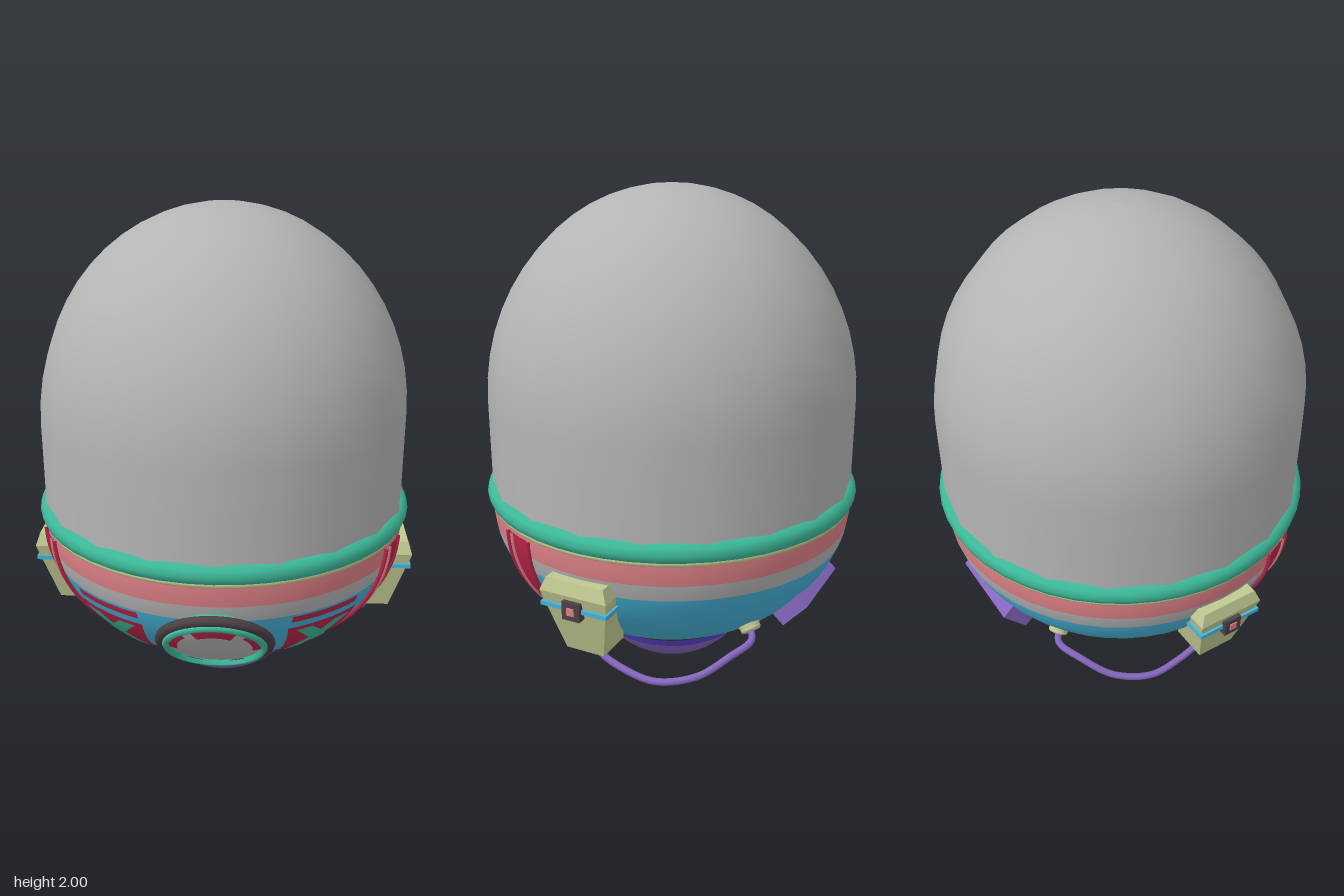
import * as THREE from 'three';
import { ConvexGeometry } from 'three/addons/geometries/ConvexGeometry.js';

const paint = (name, color) => {
  const m = new THREE.MeshStandardMaterial({ color });
  m.name = name;
  return m;
};
const V = (x, y, z) => new THREE.Vector3(x, y, z);
const P = (x, y) => new THREE.Vector2(x, y);
const RAD = Math.PI / 180;

// Bowl profile: a half ellipse below the rim
const RIM_Y = 0.75, BOWL_R = 0.745, BOWL_H = 0.59;
const bowlRadius = (y) => BOWL_R * Math.sqrt(Math.max(0, 1 - ((y - RIM_Y) / BOWL_H) ** 2));
const bowlNormal = (azimuth, y) => {
  const r = bowlRadius(y) / BOWL_R ** 2;
  return V(r * Math.sin(azimuth * RAD), (y - RIM_Y) / BOWL_H ** 2, r * Math.cos(azimuth * RAD)).normalize();
};
// Azimuth in degrees: 0 is the front, 90 is +x
const onBowl = (azimuth, y, lift = 0) => {
  const r = bowlRadius(y);
  return V(r * Math.sin(azimuth * RAD), y, r * Math.cos(azimuth * RAD))
    .addScaledVector(bowlNormal(azimuth, y), lift);
};

export function createModel() {
  const gray = paint('gray', 0xb4b4b4);
  const teal = paint('teal', 0x3cb898);
  const blue = paint('blue', 0x46b2d8);
  const pink = paint('pink', 0xdd8086);
  const crimson = paint('crimson', 0xb82448);
  const indigo = paint('indigo', 0x5a42cc);
  const purple = paint('purple', 0x8666be);
  const olive = paint('paleOlive', 0xc0c890);
  const dark = paint('darkBrown', 0x4c4044);

  const model = new THREE.Group();
  model.name = 'capsule';
  const add = (name, geometry, material, parent = model) => {
    const mesh = new THREE.Mesh(geometry, material);
    mesh.name = name;
    parent.add(mesh);
    return mesh;
  };
  const lathe = (name, material, radiusAt, y0, y1, steps, sides) => {
    const pts = [];
    for (let i = 0; i <= steps; i++) {
      const y = y0 + (y1 - y0) * i / steps;
      pts.push(P(radiusAt(y), y));
    }
    return add(name, new THREE.LatheGeometry(pts, sides), material);
  };
  const ring = (name, material, radius, tube, y, parent = model) => {
    const mesh = add(name, new THREE.TorusGeometry(radius, tube, 10, 48), material, parent);
    mesh.rotation.x = Math.PI / 2;
    mesh.position.y = y;
    return mesh;
  };
  // Thin painted face lying on the bowl, with separate top and bottom azimuths
  const patch = (name, material, top, bottom, y0, y1, lift, side) => {
    const geo = new THREE.PlaneGeometry(1, 1, 8, 10);
    const pos = geo.attributes.position, nor = geo.attributes.normal;
    for (let i = 0; i < pos.count; i++) {
      let u = pos.getX(i) + 0.5;
      if (side < 0) u = 1 - u;
      const v = pos.getY(i) + 0.5;
      const a = side * THREE.MathUtils.lerp(
        THREE.MathUtils.lerp(bottom[0], bottom[1], u), THREE.MathUtils.lerp(top[0], top[1], u), v);
      const y = y0 + (y1 - y0) * v;
      pos.setXYZ(i, ...onBowl(a, y, lift).toArray());
      nor.setXYZ(i, ...bowlNormal(a, y).toArray());
    }
    return add(name, geo, material);
  };

  // Dome: short straight wall and an elliptical crown
  const domePts = [P(0.742, 0.76), P(0.742, 1.0)];
  for (let i = 0; i <= 14; i++) {
    const t = i / 14 * Math.PI / 2;
    domePts.push(P(Math.max(0, 0.742 * Math.cos(t)), 1.17 + 0.83 * Math.sin(t)));
  }
  add('dome', new THREE.LatheGeometry(domePts, 20), gray);

  // Rim
  ring('rimRing', teal, 0.722, 0.043, 0.792);
  ring('rimTrim', olive, 0.735, 0.016, 0.757);

  // Bowl bands
  lathe('pinkBand', pink, bowlRadius, 0.665, 0.75, 4, 48);
  lathe('grayBand', gray, bowlRadius, 0.597, 0.665, 4, 48);
  lathe('bowl', blue, bowlRadius, 0.235, 0.597, 16, 48);

  // Bottom thruster ball and collar
  const ball = (y) => Math.sqrt(Math.max(0, 0.365 ** 2 - (y - 0.365) ** 2));
  lathe('ballUpper', indigo, ball, 0.16, 0.26, 4, 32);
  const ballPts = [];
  for (let i = 0; i <= 10; i++) {
    const t = i / 10 * Math.acos((0.365 - 0.16) / 0.365);
    ballPts.push(P(0.365 * Math.sin(t), 0.365 - 0.365 * Math.cos(t)));
  }
  add('ballLower', new THREE.LatheGeometry(ballPts, 32), purple);
  ring('collar', dark, 0.355, 0.017, 0.236);

  // Front porthole, local y pointing out of the bowl
  const porthole = new THREE.Group();
  porthole.name = 'porthole';
  porthole.position.set(0, 0.46, 0.632);
  porthole.rotation.x = Math.acos(-0.62);
  model.add(porthole);
  ring('portholeOuterRing', dark, 0.207, 0.019, 0, porthole);
  add('portholeRing', new THREE.LatheGeometry(
    [P(0.197, -0.05), P(0.197, 0.02), P(0.19, 0.03), P(0.176, 0.03), P(0.17, 0.0)], 40), teal, porthole);
  const cap = (name, material, r0, lift, start = 0, sweep = 360) => {
    const pts = [];
    for (let i = 0; i <= 6; i++) {
      const r = 0.178 + (r0 - 0.178) * i / 6;
      pts.push(P(r, 0.038 + lift - 0.028 * (r / 0.178) ** 2));
    }
    add(name, new THREE.LatheGeometry(pts, Math.ceil(sweep / 10), start * RAD, sweep * RAD), material, porthole);
  };
  cap('portholeGlass', gray, 0, 0);
  [[148, 64, 0.115], [228, 50, 0.142], [82, 50, 0.142], [318, 22, 0.148], [20, 22, 0.148]].forEach(
    ([start, sweep, r]) => cap('glassMark', crimson, r, 0.004, start, sweep));

  for (const s of [1, -1]) {
    // Painted panel with a cross, and the bar above it
    patch('panel', crimson, [23, 50], [26, 51], 0.345, 0.53, 0.004, s);
    patch('panelBar', crimson, [23.5, 48], [23.5, 48], 0.562, 0.592, 0.004, s);
    patch('crossStroke', teal, [26, 32], [41, 49], 0.355, 0.515, 0.007, s);
    patch('crossStroke', teal, [41, 48], [27, 35], 0.355, 0.515, 0.008, s);

    // Side strap with raised rails
    patch('strap', crimson, [61, 70], [61, 68], 0.25, 0.74, 0.006, s);
    for (const [topA, lowA] of [[59.5, 57], [62, 62], [70.5, 69]]) {
      const pts = [];
      for (let i = 0; i <= 8; i++) {
        const t = i / 8;
        pts.push(onBowl(s * (topA + (lowA - topA) * t), 0.74 - 0.495 * t, 0.005));
      }
      add('strapRail', new THREE.TubeGeometry(new THREE.CatmullRomCurve3(pts), 20, 0.009, 6), topA === 62 ? pink : crimson);
    }

    // Side tank: tapered block from three cross-sections
    const tank = new THREE.Group();
    tank.name = s > 0 ? 'leftTank' : 'rightTank';
    model.add(tank);
    const corners = [];
    for (const [y, inner, outer, half] of [
      [0.65, 0.66, 0.768, 0.12], [0.6, 0.64, 0.784, 0.14], [0.335, 0.555, 0.705, 0.08]]) {
      for (const x of [inner, outer]) for (const z of [-half, half]) corners.push(V(s * x, y, z + 0.013));
    }
    add('tankBody', new ConvexGeometry(corners), olive, tank);
    add('tankBand', new THREE.BoxGeometry(0.15, 0.017, 0.278), blue, tank).position.set(s * 0.706, 0.546, 0.013);
    add('buckle', new THREE.BoxGeometry(0.05, 0.072, 0.074), dark, tank).position.set(s * 0.77, 0.546, 0.015);
    add('buckleStud', new THREE.BoxGeometry(0.012, 0.03, 0.03), pink, tank).position.set(s * 0.793, 0.546, 0.015);
    add('nozzle', new THREE.CylinderGeometry(0.026, 0.02, 0.035, 12), pink, tank).position.set(s * 0.61, 0.322, 0.015);

    // Hose from the tank to the socket at the back
    const az = s * 149, sockY = 0.36, n = bowlNormal(az, sockY);
    const hose = new THREE.CatmullRomCurve3([
      V(s * 0.61, 0.32, 0.015), V(s * 0.61, 0.28, 0), V(s * 0.61, 0.235, -0.1), V(s * 0.6, 0.213, -0.23),
      V(s * 0.53, 0.235, -0.37), V(s * 0.43, 0.29, -0.46),
      onBowl(az, sockY, 0.05).add(V(s * 0.025, 0, 0)), onBowl(az, sockY, 0)]);
    add('hose', new THREE.TubeGeometry(hose, 48, 0.014, 8), purple);
    const socket = new THREE.Group();
    socket.name = 'hoseSocket';
    socket.position.copy(onBowl(az, sockY, 0.004));
    socket.quaternion.setFromUnitVectors(V(0, 1, 0), n);
    model.add(socket);
    add('socketDisc', new THREE.CylinderGeometry(0.04, 0.045, 0.02, 20), olive, socket);
    ring('socketRing', olive, 0.03, 0.011, 0.012, socket);
  }

  // Back plate with three studs, local z pointing out of the bowl
  const plate = new THREE.Group();
  plate.name = 'backPlate';
  plate.position.copy(onBowl(180, 0.405, 0.005));
  plate.lookAt(onBowl(180, 0.405, 1));
  model.add(plate);
  add('plateBody', new THREE.BoxGeometry(0.37, 0.14, 0.06), purple, plate);
  for (const x of [-0.1, 0, 0.1]) {
    const stud = add('plateStud', new THREE.CylinderGeometry(0.028, 0.028, 0.008, 6), olive, plate);
    stud.rotation.x = Math.PI / 2;
    stud.position.set(x, 0, 0.032);
  }
  return model;
}
